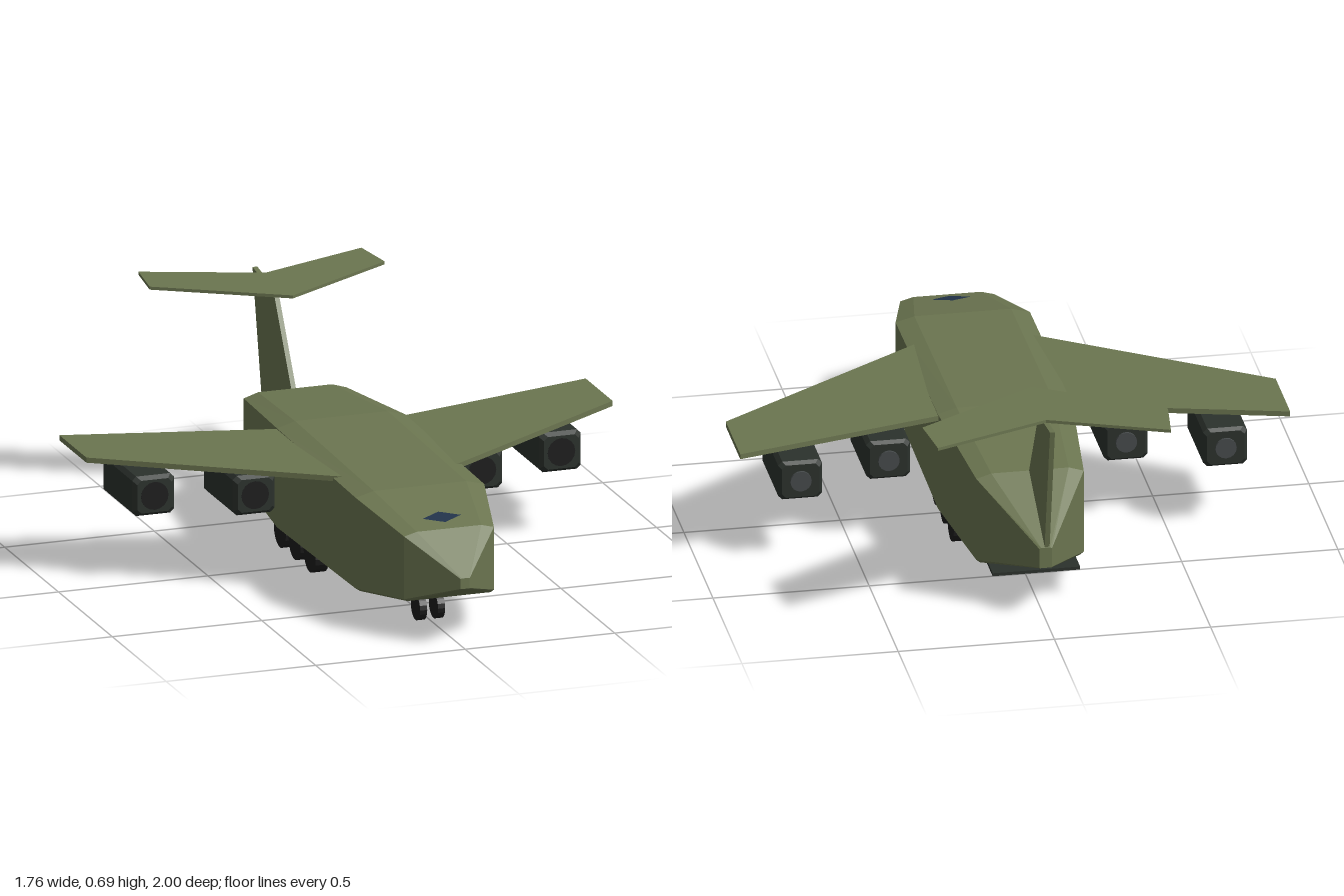
import * as THREE from 'three';

const mat = (color, extra = {}) => {
  const m = new THREE.MeshStandardMaterial({ flatShading: true, ...extra });
  m.color.set(color);
  return m;
};

// Chamfered rectangle at depth z: half width, bottom, top, chamfer sizes (counterclockwise from +z)
function ring(z, hw, y0, y1, topX, topY, botX, botY) {
  return [[hw - botX, y0], [hw, y0 + botY], [hw, y1 - topY], [hw - topX, y1],
    [topX - hw, y1], [-hw, y1 - topY], [-hw, y0 + botY], [botX - hw, y0]]
    .map(([x, y]) => new THREE.Vector3(x, y, z));
}

// Skin a list of rings running from front to back, closed at both ends
function loft(rings) {
  const pts = [];
  const n = rings[0].length;
  for (let i = 0; i < rings.length - 1; i++) {
    for (let j = 0; j < n; j++) {
      const k = (j + 1) % n;
      const a = rings[i][j], b = rings[i][k], c = rings[i + 1][k], d = rings[i + 1][j];
      pts.push(a, d, c, a, c, b);
    }
  }
  const first = rings[0], last = rings[rings.length - 1];
  for (let j = 1; j < n - 1; j++) {
    pts.push(first[0], first[j], first[j + 1], last[0], last[j + 1], last[j]);
  }
  const g = new THREE.BufferGeometry().setFromPoints(pts);
  g.computeVertexNormals();
  return g;
}

// Flat plate from a plan outline of [x, z] points, between y and y + thickness
function plate(outline, y, thickness) {
  const shape = new THREE.Shape(outline.map(([x, z]) => new THREE.Vector2(x, -z)));
  return new THREE.ExtrudeGeometry(shape, { depth: thickness, bevelEnabled: false })
    .rotateX(-Math.PI / 2).translate(0, y, 0);
}

export function createModel() {
  const model = new THREE.Group();
  const green = mat(0x6b7550), dark = mat(0x2b312c), black = mat(0x1c1c1c);
  const grey = mat(0x45494a), glass = mat(0x22334a, { side: THREE.DoubleSide });
  const add = (name, geometry, material, parent = model) => {
    const mesh = new THREE.Mesh(geometry, material);
    mesh.name = name;
    parent.add(mesh);
    return mesh;
  };

  // Fuselage: [z, half width, bottom, top]
  const stations = [
    [1, 0.015, 0.2, 0.235], [0.85, 0.15, 0.13, 0.355], [0.58, 0.215, 0.09, 0.415],
    [-0.15, 0.215, 0.075, 0.43], [-0.58, 0.172, 0.09, 0.395], [-0.85, 0.02, 0.18, 0.25],
  ];
  add('fuselage', loft(stations.map(([z, hw, y0, y1]) =>
    ring(z, hw, y0, y1, hw * 0.28, (y1 - y0) * 0.05, hw * 0.07, (y1 - y0) * 0.03))), green);

  // Cockpit window: a diamond lying on the sloping roof
  const window_ = new THREE.Shape([[0, -0.034], [0.064, 0], [0, 0.034], [-0.064, 0]]
    .map(p => new THREE.Vector2(...p)));
  const cockpit = add('cockpitWindow', new THREE.ShapeGeometry(window_), glass);
  cockpit.rotation.x = -Math.PI / 2 + Math.atan2(0.06, 0.27);
  cockpit.position.set(0, 0.373, 0.782);

  // Rear loading ramp
  add('loadingRamp', new THREE.BoxGeometry(0.28, 0.01, 0.2).translate(0, 0.095, -0.59), dark);

  // T tail
  const fin = new THREE.Shape([[-0.56, 0.37], [-0.58, 0.395], [-0.74, 0.66], [-0.94, 0.69],
    [-0.845, 0.24]].map(p => new THREE.Vector2(...p)));
  add('tailFin', new THREE.ExtrudeGeometry(fin, { depth: 0.016, bevelEnabled: false })
    .rotateY(-Math.PI / 2).translate(0.003, 0, 0), green);
  add('tailplane', plate([[0, -0.6], [0.393, -0.84], [0.373, -1], [0, -0.855],
    [-0.373, -1], [-0.393, -0.84]], 0.685, 0.01), green);

  for (const side of [1, -1]) {
    const label = side > 0 ? 'left' : 'right';

    // Swept wing
    add(label + 'Wing', plate([[0.19, 0.387], [0.88, -0.075], [0.88, -0.325], [0.19, -0.149]]
      .map(([x, z]) => [x * side, z]), 0.392, 0.017), green);

    // Engines with bevelled ends, intake and exhaust
    for (const [kind, x, z] of [['Inner', 0.38, 0.1], ['Outer', 0.68, 0]]) {
      const engine = new THREE.Group();
      engine.name = label + kind + 'Engine';
      engine.position.set(x * side, 0.285, z);
      const r = (depth, s) => ring(depth, s, -s * 0.93, s * 0.93, 0.013, 0.013, 0.013, 0.013);
      add('nacelle', loft([r(0.005, 0.058), r(-0.01, 0.07), r(-0.278, 0.07), r(-0.29, 0.06)]), dark, engine);
      add('intake', new THREE.CylinderGeometry(0.046, 0.046, 0.004, 16)
        .rotateX(Math.PI / 2).translate(0, 0, 0.004), black, engine);
      add('exhaust', new THREE.CylinderGeometry(0.034, 0.034, 0.012, 16)
        .rotateX(Math.PI / 2).translate(0, 0, -0.292), grey, engine);
      model.add(engine);
    }

    // Landing gear: [name, x, z, radius, width]
    for (const [name, x, z, radius, width] of [
      ['NoseWheel', 0.03, 0.655, 0.043, 0.024],
      ['MainWheelFront', 0.163, 0.07, 0.056, 0.044],
      ['MainWheelMiddle', 0.163, -0.07, 0.056, 0.044],
      ['MainWheelRear', 0.163, -0.207, 0.056, 0.044],
    ]) {
      add(label + name, new THREE.CylinderGeometry(radius, radius, width, 18)
        .rotateZ(Math.PI / 2).translate(x * side, radius, z), black);
    }
  }
  return model;
}
